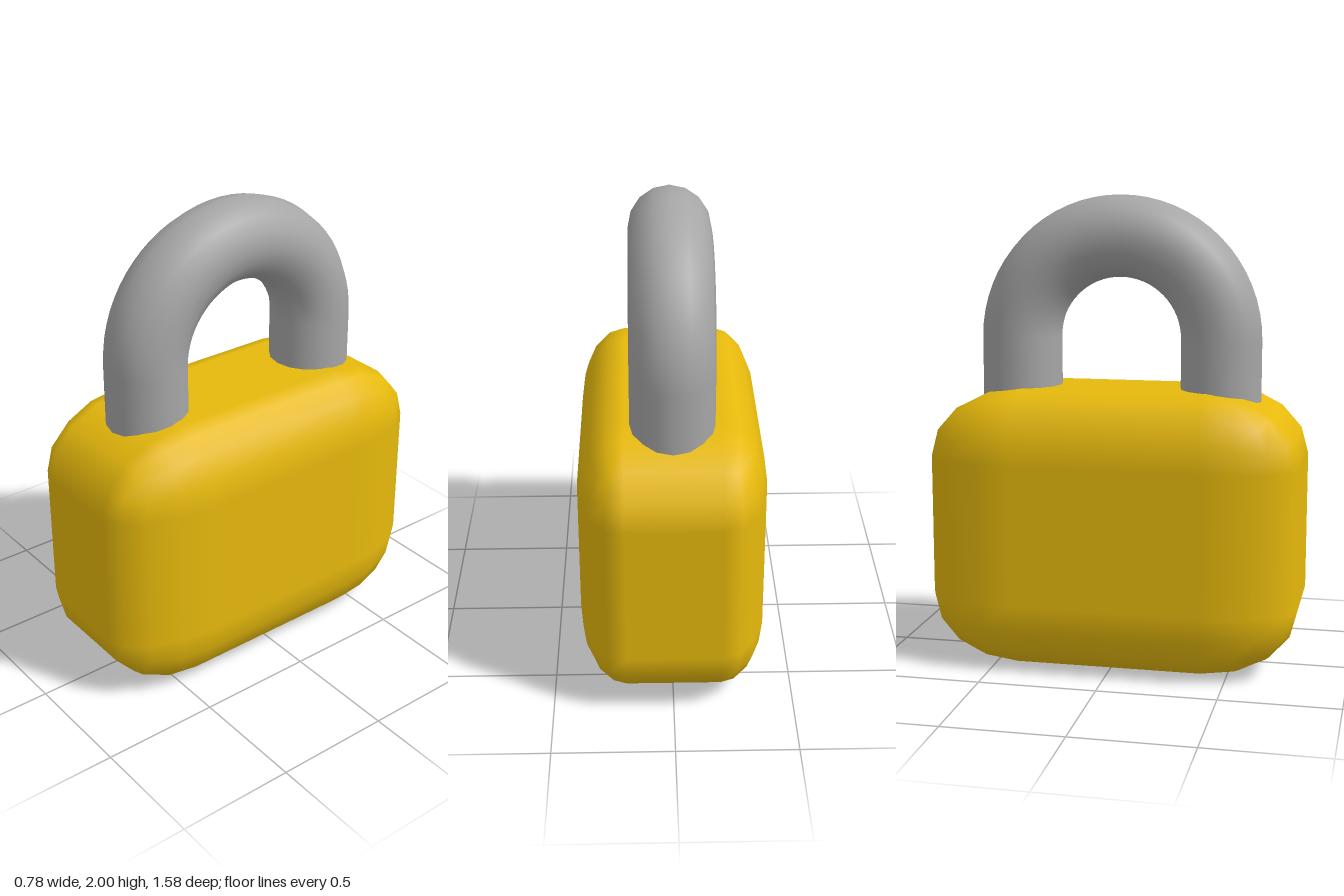
import * as THREE from 'three';

// Unit cube with rounded edges: each edge turns 90 degrees in 2 * steps even facets
function roundedCube(radius, steps) {
  const cells = steps * 2 + 1;
  const geo = new THREE.BoxGeometry(1, 1, 1, cells, cells, cells);
  const pos = geo.attributes.position;
  const nor = geo.attributes.normal;
  const core = 0.5 - radius;
  const p = new THREE.Vector3();
  const n = new THREE.Vector3();
  const bend = (v) => {
    const k = Math.round(Math.abs(v) * cells - 0.5); // ring index from the flat centre
    return Math.sign(v) * Math.tan((k / steps) * Math.PI / 4);
  };
  for (let i = 0; i < pos.count; i++) {
    p.fromBufferAttribute(pos, i);
    n.set(bend(p.x), bend(p.y), bend(p.z)).normalize();
    pos.setXYZ(i,
      Math.sign(p.x) * core + n.x * radius,
      Math.sign(p.y) * core + n.y * radius,
      Math.sign(p.z) * core + n.z * radius);
    nor.setXYZ(i, n.x, n.y, n.z);
  }
  return geo;
}

export function createModel() {
  const group = new THREE.Group();
  const brass = new THREE.MeshStandardMaterial({ color: 0xe6b90c });
  const steel = new THREE.MeshStandardMaterial({ color: 0xa6a6a6 });

  // Body: a rounded cube stretched to size
  const bodyGeo = roundedCube(0.25, 2);
  bodyGeo.scale(0.78, 1.19, 1.58);
  const body = new THREE.Mesh(bodyGeo, brass);
  body.name = 'body';
  body.position.y = 0.595;
  group.add(body);

  // Shackle: half ring on two straight legs sunk into the body
  const shackle = new THREE.Group();
  shackle.name = 'shackle';
  const ringRadius = 0.432, rodRadius = 0.172, sides = 16;
  const archY = 2 - ringRadius - rodRadius, legBottom = 1.0;

  const archGeo = new THREE.TorusGeometry(ringRadius, rodRadius, sides, 32, Math.PI);
  archGeo.rotateY(Math.PI / 2);
  const arch = new THREE.Mesh(archGeo, steel);
  arch.name = 'shackleArch';
  arch.position.y = archY;
  shackle.add(arch);

  const legGeo = new THREE.CylinderGeometry(rodRadius, rodRadius, archY - legBottom, sides, 1, true);
  for (const side of [1, -1]) {
    const leg = new THREE.Mesh(legGeo, steel);
    leg.name = side > 0 ? 'frontShackleLeg' : 'backShackleLeg';
    leg.position.set(0, (archY + legBottom) / 2, side * ringRadius);
    shackle.add(leg);
  }
  group.add(shackle);
  return group;
}
